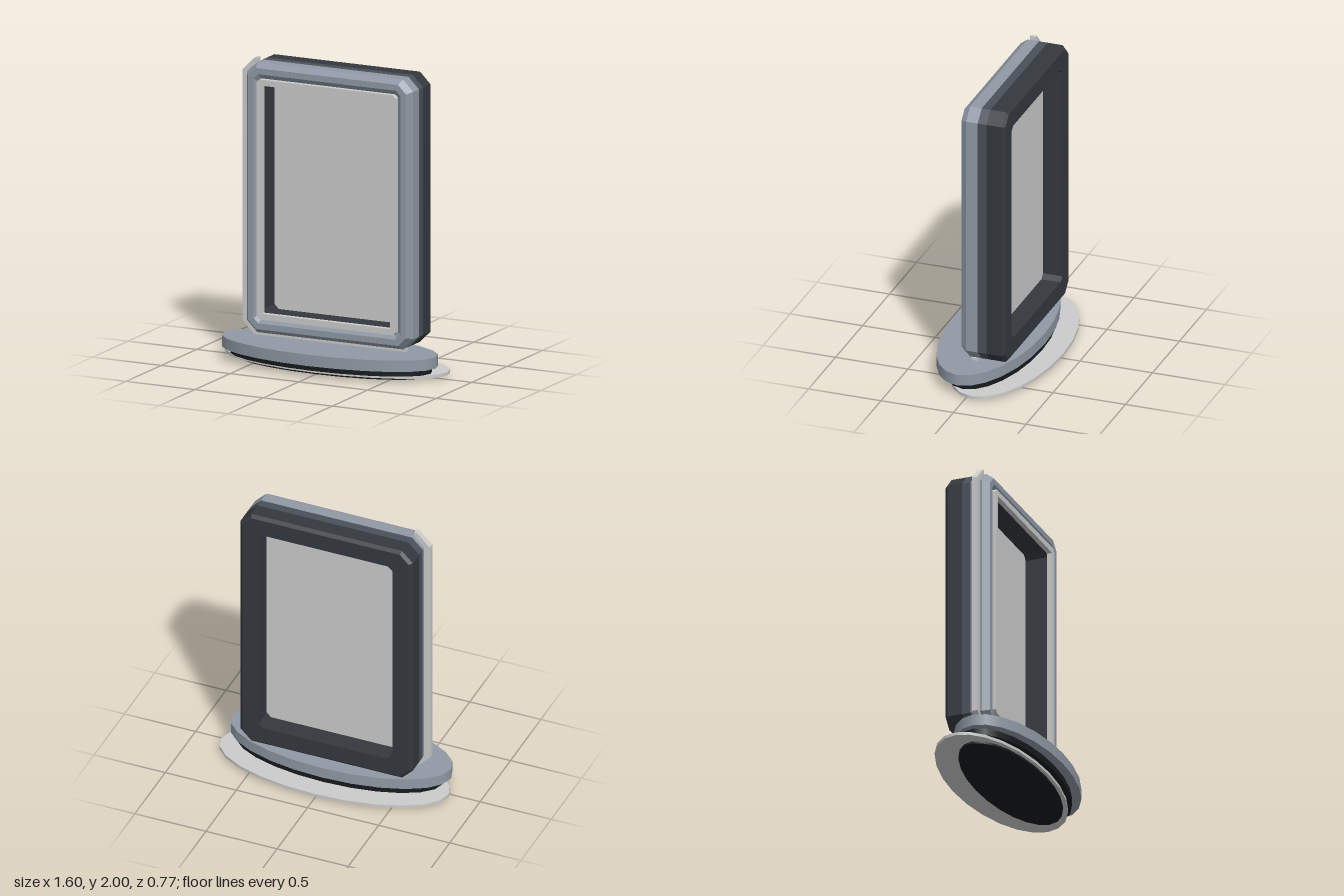
import * as THREE from 'three';

const HALF_W = 0.605, HALF_H = 0.8975, MID_Y = 1.0775;

const paint = (color) => new THREE.MeshStandardMaterial({ color });
const PALE = paint(0xcccccc);
const STEEL = paint(0x8f99a5);
const SLATE = paint(0x4a5058);
const DARK = paint(0x34383e);
const BLACK = paint(0x17191b);

// Rectangle with cut corners, counter-clockwise, inset from the outer outline.
function outline(inset, cut) {
  const w = HALF_W - inset, h = HALF_H - inset;
  return [
    [w, -h + cut], [w, h - cut], [w - cut, h], [-w + cut, h],
    [-w, h - cut], [-w, -h + cut], [-w + cut, -h], [w - cut, -h],
  ];
}

// Closed frame swept from a profile of [inset, z, corner cut].
function frame(name, profile, material) {
  const loops = profile.map(([inset, z, cut]) =>
    outline(inset, cut).map(([x, y]) => [x, y + MID_Y, z]));
  const positions = [];
  loops.forEach((loop, i) => {
    const next = loops[(i + 1) % loops.length];
    for (let j = 0; j < 8; j++) {
      const k = (j + 1) % 8;
      const [a, b, c, d] = [loop[j], loop[k], next[k], next[j]];
      positions.push(...a, ...b, ...c, ...a, ...c, ...d);
    }
  });
  const geometry = new THREE.BufferGeometry();
  geometry.setAttribute('position', new THREE.Float32BufferAttribute(positions, 3));
  geometry.computeVertexNormals();
  return named(name, geometry, material);
}

function named(name, geometry, material) {
  const mesh = new THREE.Mesh(geometry, material);
  mesh.name = name;
  return mesh;
}

// Elliptical plate between two heights and two z limits.
function plate(name, halfX, zBack, zFront, y0, y1, material) {
  const geometry = new THREE.CylinderGeometry(1, 1, y1 - y0, 24);
  geometry.scale(halfX, 1, (zFront - zBack) / 2);
  geometry.translate(0, (y0 + y1) / 2, (zFront + zBack) / 2);
  return named(name, geometry, material);
}

export function createModel() {
  const model = new THREE.Group();
  model.name = 'standingFrame';

  // Stacked oval base
  model.add(
    plate('basePad', 0.67, -0.23, 0.26, 0, 0.015, BLACK),
    plate('basePlate', 0.8, -0.385, 0.285, 0.015, 0.035, PALE),
    plate('baseCore', 0.72, -0.24, 0.32, 0.035, 0.08, BLACK),
    plate('baseTop', 0.77, -0.257, 0.381, 0.08, 0.155, STEEL),
  );

  // Bevelled front frame
  model.add(frame('frontFrame', [
    [0, -0.02, 0.075], [0, 0.06, 0.075], [0.03, 0.103, 0.058],
    [0.07, 0.103, 0.034], [0.1, 0.08, 0.02], [0.1, -0.02, 0.02],
  ], STEEL));

  // Middle band
  model.add(frame('middleBand', [
    [0, -0.08, 0.075], [0, -0.02, 0.075], [0.1, -0.02, 0.02], [0.1, -0.08, 0.02],
  ], SLATE));

  // Rear frame with the deep inner reveal
  model.add(frame('rearFrame', [
    [0.02, -0.203, 0.063], [0, -0.183, 0.075], [0, -0.08, 0.075], [0.1, -0.08, 0.02],
    [0.1, 0.08, 0.02], [0.135, 0.08, 0.03], [0.135, -0.203, 0.03],
  ], DARK));

  // Thin raised bezel
  model.add(frame('bezel', [
    [0.1, 0.08, 0.02], [0.1, 0.115, 0.02], [0.14, 0.115, 0.003], [0.14, 0.08, 0.003],
  ], PALE));

  // Recessed panel, seen from both sides
  const panel = named('panel', new THREE.PlaneGeometry(0.95, 1.535),
    new THREE.MeshStandardMaterial({ color: 0xcccccc, side: THREE.DoubleSide }));
  panel.position.set(0, MID_Y, -0.07);
  model.add(panel);

  // Trim strip hugging the right side and the bottom edge
  const trim = new THREE.Shape([
    [-0.535, 2], [-0.555, 2], [-0.645, 1.91], [-0.645, 0.245], [-0.56, 0.16], [0.54, 0.16],
    [0.54, 0.18], [-0.53, 0.18], [-0.605, 0.255], [-0.605, 1.9], [-0.535, 1.97],
  ].map(([x, y]) => new THREE.Vector2(x, y)));
  const strip = named('trimStrip',
    new THREE.ExtrudeGeometry(trim, { depth: 0.04, bevelEnabled: false }), PALE);
  strip.position.z = 0.005;
  model.add(strip);

  return model;
}
